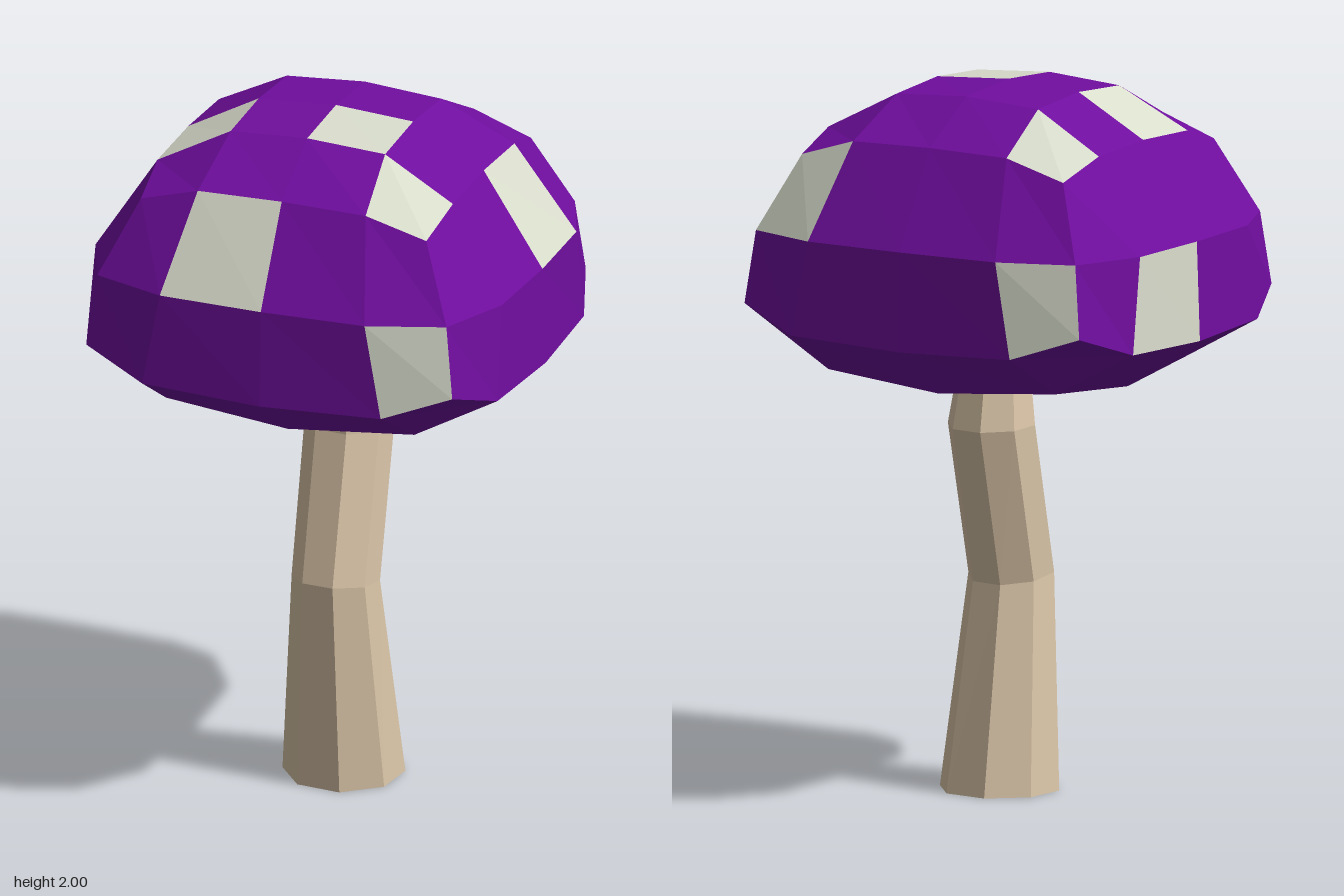
import * as THREE from 'three';

const purple = new THREE.MeshStandardMaterial({ color: 0x700e9f });
const pale = new THREE.MeshStandardMaterial({ color: 0xd9ddcc });
const tan = new THREE.MeshStandardMaterial({ color: 0xdac5a8 });
purple.name = 'purple cap';
pale.name = 'pale spots and gills';
tan.name = 'tan stem';

// Quarter tables of the cap, keyed by |i||j|; the other quarters are mirrored.
const crown = {
  '00': [0, 2, 0], '01': [0, 1.985, 0.22], '02': [0, 1.87, 0.415],
  '10': [0.23, 1.985, 0], '11': [0.23, 1.97, 0.215], '12': [0.25, 1.865, 0.415],
  '20': [0.44, 1.87, 0], '21': [0.44, 1.86, 0.235], '22': [0.425, 1.81, 0.4],
};
const waist = {
  '02': [0, 1.6, 0.575], '12': [0.305, 1.6, 0.565], '22': [0.52, 1.6, 0.49],
  '21': [0.605, 1.6, 0.285], '20': [0.615, 1.6, 0],
};
const brim = {
  '02': [0, 1.32, 0.585], '12': [0.355, 1.33, 0.57], '22': [0.545, 1.395, 0.51],
  '21': [0.61, 1.33, 0.33], '20': [0.625, 1.32, 0],
};
const lip = { '01': [0, 1.17, 0.37], '11': [0.37, 1.2, 0.35], '10': [0.39, 1.17, 0] };
const ceiling = {
  '00': [0, 1.33, 0], '01': [0, 1.29, 0.23], '11': [0.21, 1.29, 0.2], '10': [0.24, 1.29, 0],
};

function point(table, i, j) {
  const [x, y, z] = table[`${Math.abs(i)}${Math.abs(j)}`];
  return [Math.sign(i) * x, y, Math.sign(j) * z];
}

// Grid position on each side, u running left to right as seen from outside.
const sides = {
  front: (u, h) => [u, h],
  right: (u, h) => [h, -u],
  back: (u, h) => [-u, -h],
  left: (u, h) => [-h, u],
};

const quad = (list, a, b, c, d) => list.push(...a, ...b, ...c, ...a, ...c, ...d);

function meshOf(name, list, material) {
  const geometry = new THREE.BufferGeometry();
  geometry.setAttribute('position', new THREE.Float32BufferAttribute(list, 3));
  geometry.computeVertexNormals();
  const mesh = new THREE.Mesh(geometry, material);
  mesh.name = name;
  return mesh;
}

function createCap() {
  const skin = [], spots = [], gills = [];
  const spotCells = new Set([
    'top -2 -2', 'top -2 0', 'top 0 0', 'top 1 1',
    'front -1 0', 'front 1 1', 'right 0 0', 'back -2 0', 'back 1 1', 'left -1 1',
    'under -2 1',
  ]);
  const target = (key) => (spotCells.has(key) ? spots : skin);
  const under = (i, j) => point(Math.max(Math.abs(i), Math.abs(j)) === 2 ? brim : lip, i, j);

  // Crown on top, sloping ring underneath, gill ceiling in the middle
  for (let i = -2; i < 2; i++) {
    for (let j = -2; j < 2; j++) {
      const corners = [[i, j], [i, j + 1], [i + 1, j + 1], [i + 1, j]];
      quad(target(`top ${i} ${j}`), ...corners.map((c) => point(crown, ...c)));
      corners.reverse();
      const inner = i >= -1 && i < 1 && j >= -1 && j < 1;
      if (inner) quad(gills, ...corners.map((c) => point(ceiling, ...c)));
      else quad(target(`under ${i} ${j}`), ...corners.map((c) => under(...c)));
    }
  }

  // Two rows of panels around the sides, and the gill slope inside the lip
  const rows = [crown, waist, brim];
  for (const [name, at] of Object.entries(sides)) {
    for (let u = -2; u < 2; u++) {
      const p = at(u, 2), q = at(u + 1, 2);
      for (let r = 0; r < 2; r++) {
        quad(target(`${name} ${u} ${r}`), point(rows[r], ...p), point(rows[r + 1], ...p),
          point(rows[r + 1], ...q), point(rows[r], ...q));
      }
    }
    for (let u = -1; u < 1; u++) {
      const p = at(u, 1), q = at(u + 1, 1);
      quad(gills, point(ceiling, ...q), point(lip, ...q), point(lip, ...p), point(ceiling, ...p));
    }
  }

  const cap = new THREE.Group();
  cap.name = 'cap';
  cap.add(meshOf('capSkin', skin, purple), meshOf('capSpots', spots, pale), meshOf('gills', gills, pale));
  return cap;
}

// Bent eight-sided stem: each ring is [y, centre z, radius, tilt]
function createStem() {
  const rings = [
    [0, -0.017, 0.171, 0], [0.6, 0.045, 0.123, 0.14],
    [1.035, -0.06, 0.125, 0.04], [1.36, -0.03, 0.08, 0],
  ];
  const geometry = new THREE.CylinderGeometry(1, 1, 3, 8, 3, false, THREE.MathUtils.degToRad(17));
  const pos = geometry.attributes.position;
  for (let k = 0; k < pos.count; k++) {
    const [y, cz, r, tilt] = rings[Math.round(pos.getY(k) + 1.5)];
    const dz = pos.getZ(k) * r;
    pos.setXYZ(k, 0.017 + pos.getX(k) * r, y + dz * tilt, cz + dz);
  }
  const flat = geometry.toNonIndexed();
  flat.computeVertexNormals();
  const stem = new THREE.Mesh(flat, tan);
  stem.name = 'stem';
  return stem;
}

export function createModel() {
  const model = new THREE.Group();
  model.name = 'mushroom';
  model.add(createStem(), createCap());
  return model;
}
